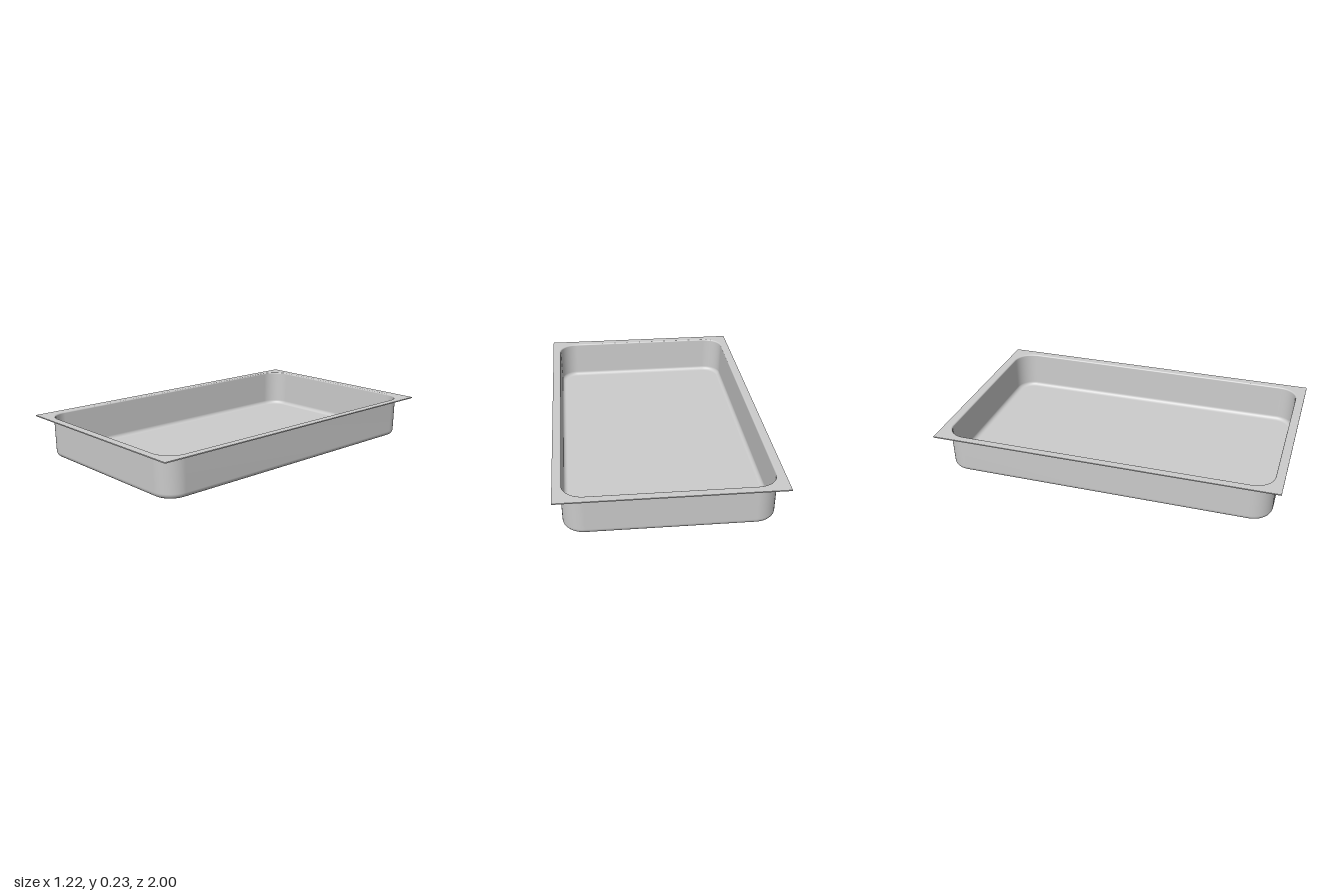
import * as THREE from 'three';

// Corner centres shared by every rounded outline of the tray
const CX = 0.448, CZ = 0.835, STEPS = 12;

// Rounded rectangle outline as [x, z] points, r = corner radius
function outline(r) {
  const pts = [];
  [[1, 1], [-1, 1], [-1, -1], [1, -1]].forEach(([sx, sz], q) => {
    for (let i = 0; i <= STEPS; i++) {
      const a = (q + i / STEPS) * Math.PI / 2;
      pts.push([sx * CX + r * Math.cos(a), sz * CZ + r * Math.sin(a)]);
    }
  });
  return pts;
}

// Skin lofted down a profile of [radius, y], closed by a flat floor
function basinSkin(profile, inward) {
  const pos = [], index = [], n = 4 * (STEPS + 1);
  const floorY = profile[profile.length - 1][1];
  for (const [r, y] of profile) for (const [x, z] of outline(r)) pos.push(x, y, z);
  for (let j = 0; j < n; j++) pos.push(0, floorY, 0);
  for (let i = 0; i < profile.length; i++) {
    for (let j = 0; j < n; j++) {
      const k = (j + 1) % n;
      const a = i * n + j, b = i * n + k, c = a + n, d = b + n;
      const tris = i < profile.length - 1 ? [[a, b, c], [b, d, c]] : [[a, b, c]];
      for (const [p, q, s] of tris) index.push(p, ...(inward ? [s, q] : [q, s]));
    }
  }
  const geo = new THREE.BufferGeometry();
  geo.setAttribute('position', new THREE.Float32BufferAttribute(pos, 3));
  geo.setIndex(index);
  geo.computeVertexNormals();
  return geo;
}

// Wall profile: small lip curve, slightly tapered wall, rounded foot
function wallProfile(rTop, yTop, lip, rBase, yBase, foot) {
  const p = [];
  for (let i = 0; i <= 5; i++) {
    const a = i / 5 * Math.PI / 2;
    p.push([rTop + lip * (1 - Math.sin(a)), yTop - lip * (1 - Math.cos(a))]);
  }
  for (let i = 0; i <= 8; i++) {
    const a = i / 8 * Math.PI / 2;
    p.push([rBase - foot * (1 - Math.cos(a)), yBase + foot * (1 - Math.sin(a))]);
  }
  return p;
}

export function createModel() {
  const group = new THREE.Group();
  const material = new THREE.MeshStandardMaterial({ color: 0xcccccc });
  const add = (name, geo) => {
    const mesh = new THREE.Mesh(geo, material);
    mesh.name = name;
    group.add(mesh);
    return mesh;
  };

  // Flat square-cornered rim with a rounded opening
  const rimShape = new THREE.Shape([[-0.61, -1], [0.61, -1], [0.61, 1], [-0.61, 1]]
    .map(([x, y]) => new THREE.Vector2(x, y)));
  rimShape.holes.push(new THREE.Path(outline(0.121).map(([x, z]) => new THREE.Vector2(x, z))));
  const rim = new THREE.ExtrudeGeometry(rimShape, { depth: 0.006, bevelEnabled: false });
  rim.rotateX(-Math.PI / 2);
  rim.translate(0, 0.229, 0);
  add('rim', rim);

  // Outer and inner skins of the basin
  add('basinOuter', basinSkin(wallProfile(0.12, 0.229, 0.006, 0.116, 0, 0.03), false));
  add('basinInner', basinSkin(wallProfile(0.113, 0.235, 0.008, 0.11, 0.006, 0.024), true));
  return group;
}
